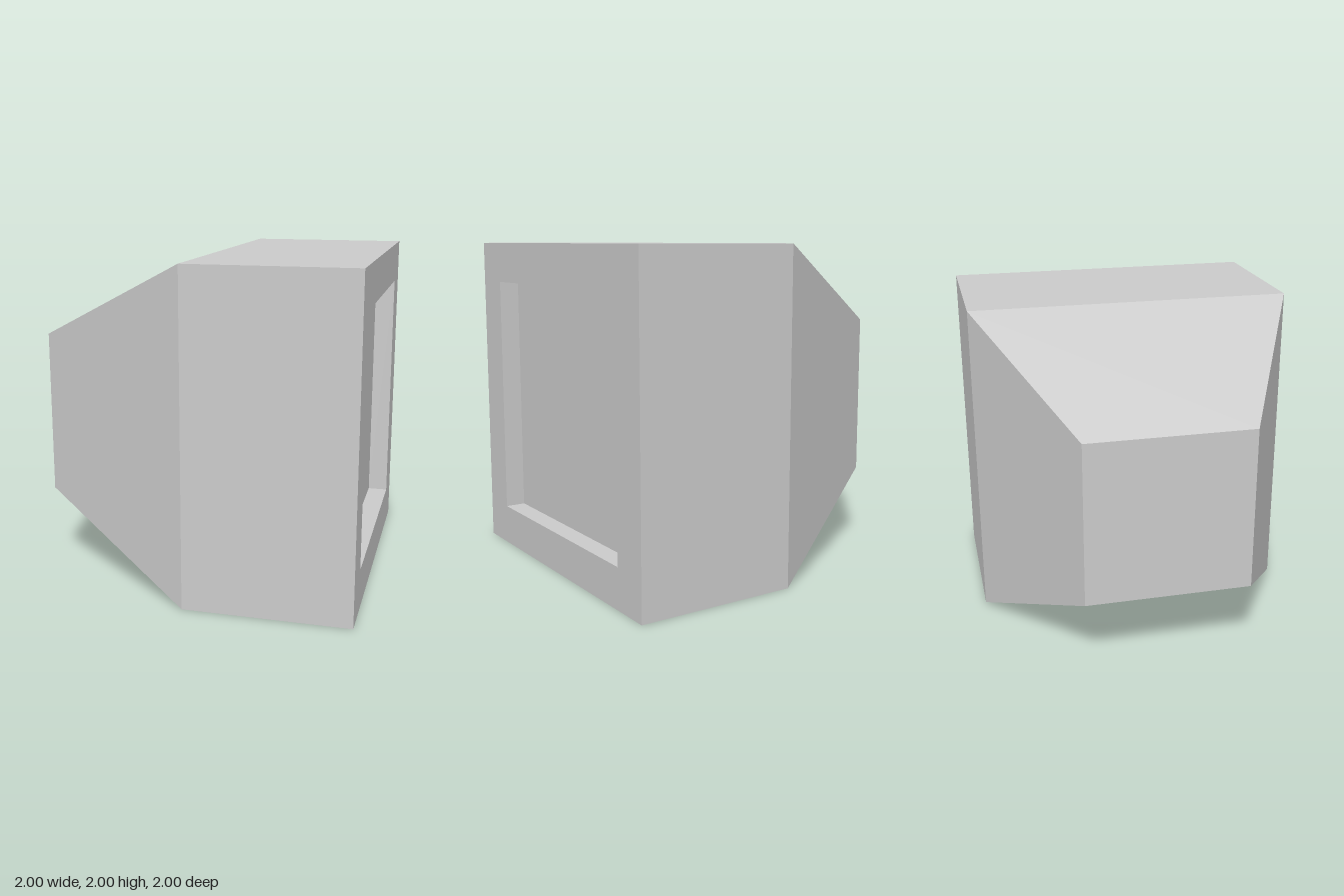
import * as THREE from 'three';

const material = new THREE.MeshStandardMaterial({ color: 0xcccccc, flatShading: true });

// Square-section solid along x from [x, half-width] pairs: a four-sided lathe laid on its side
function squareLathe(profile) {
  const points = profile.map(([x, half]) => new THREE.Vector2(half * Math.SQRT2, x));
  const lathe = new THREE.LatheGeometry(points, 4, Math.PI / 4).rotateZ(-Math.PI / 2);
  const flat = lathe.toNonIndexed();
  flat.computeVertexNormals();
  return flat;
}

export function createModel() {
  const group = new THREE.Group();
  group.name = 'monitor';

  // Casing: closed back, tapered rear, square body, bezel and recess walls
  const casing = new THREE.Mesh(squareLathe([
    [-1, 0], [-1, 0.5], [0, 1], [1, 1], [1, 0.75], [0.875, 0.75],
  ]), material);
  casing.name = 'casing';
  casing.position.y = 1;

  // Screen at the bottom of the recess, facing +x
  const screen = new THREE.Mesh(new THREE.PlaneGeometry(1.5, 1.5).rotateY(Math.PI / 2), material);
  screen.name = 'screen';
  screen.position.set(0.875, 1, 0);

  group.add(casing, screen);
  return group;
}
